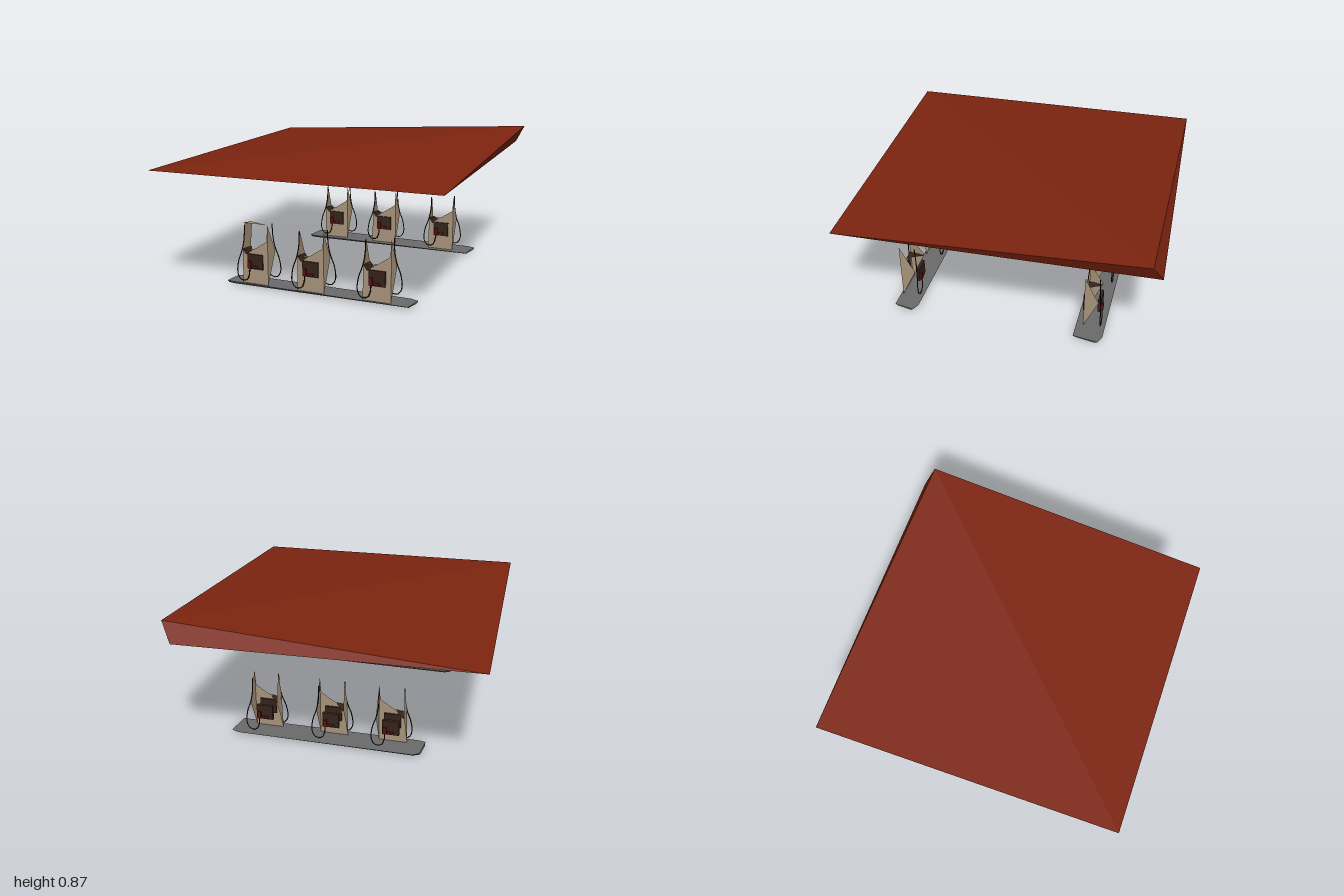
import * as THREE from 'three';

const mat = (color, side = THREE.DoubleSide) =>
  new THREE.MeshStandardMaterial({ color, side, flatShading: true });
const red = mat(0x7d2410), tan = mat(0xa8947a), grey = mat(0x6a6a6a);
const dark = mat(0x35241b), nozzleRed = mat(0x5e1212), black = mat(0x1c1815);

function add(parent, name, geometry, material) {
  const mesh = new THREE.Mesh(geometry, material);
  mesh.name = name;
  parent.add(mesh);
  return mesh;
}

// Flat-faced surface from corner points and triangles
function faceted(points, triangles) {
  const g = new THREE.BufferGeometry();
  const pos = triangles.flat().flatMap(i => points[i]);
  g.setAttribute('position', new THREE.Float32BufferAttribute(pos, 3));
  g.computeVertexNormals();
  return g;
}

// Sloping canopy: flat underside rising to one high corner
function canopyGeometry() {
  return faceted(
    [[-0.947, 0.75, -0.945], [0.877, 0.75, -1], [0.945, 0.75, 0.938], [-0.885, 0.75, 0.995], [0.945, 0.87, -0.945]],
    [[0, 3, 4], [3, 2, 4], [4, 2, 1], [0, 4, 1], [0, 1, 2], [0, 2, 3]]);
}

// Thin slab with clipped corners and a tapering underside
function islandGeometry(zMin, zMax) {
  const s = new THREE.Shape();
  [[-0.54, zMax - 0.01], [-0.53, zMin + 0.03], [-0.49, zMin], [0.64, zMin],
    [0.69, zMin + 0.02], [0.67, zMax], [-0.5, zMax]]
    .forEach(([x, z], i) => (i ? s.lineTo(x, -z) : s.moveTo(x, -z)));
  const g = new THREE.ExtrudeGeometry(s, { depth: 0.018, bevelEnabled: false });
  g.rotateX(-Math.PI / 2);
  const p = g.attributes.position, mid = (zMin + zMax) / 2;
  for (let i = 0; i < p.count; i++) {
    if (p.getY(i) > 0.01) continue;
    p.setY(i, 0.009 * (p.getX(i) + 0.54) / 1.23);
    p.setZ(i, mid + (p.getZ(i) - mid) * 0.75);
  }
  g.computeVertexNormals();
  return g;
}

// Display, hose and nozzle for one face of a pump
function serviceSide(d) {
  const side = new THREE.Group();
  side.name = 'serviceSide';
  add(side, 'display', new THREE.BoxGeometry(0.105, 0.095, 0.02), dark).position.set(0.004, 0.163, d);
  add(side, 'nozzle', new THREE.BoxGeometry(0.022, 0.045, 0.018), nozzleRed).position.set(-0.03, 0.145, d + 0.015);
  add(side, 'nozzleGrip', new THREE.BoxGeometry(0.05, 0.014, 0.012), nozzleRed).position.set(0, 0.13, d + 0.012);
  const path = [[-0.07, 0.39, 0], [-0.073, 0.3, 0.005], [-0.085, 0.23, 0.012], [-0.108, 0.16, 0.018],
    [-0.114, 0.08, 0.02], [-0.09, 0.042, 0.02], [-0.05, 0.045, 0.02], [-0.033, 0.08, 0.02], [-0.03, 0.14, 0.016]]
    .map(([x, y, z]) => new THREE.Vector3(x, y, d + z));
  add(side, 'hose', new THREE.TubeGeometry(new THREE.CatmullRomCurve3(path), 28, 0.0035, 5), black);
  return side;
}

function pump(d, roofed) {
  const g = new THREE.Group();
  g.name = 'pump';
  // Front panel with a spike at its right edge
  const front = new THREE.Shape();
  [[-0.09, 0.018], [0.09, 0.018], [0.09, 0.4], [0.083, 0.3], [0.0, 0.245], [-0.085, 0.235]]
    .forEach(([x, y], i) => (i ? front.lineTo(x, y) : front.moveTo(x, y)));
  add(g, 'frontPanel', new THREE.ShapeGeometry(front), tan).position.z = d;
  // Triangular side panels
  add(g, 'rightPanel', faceted([[0.09, 0.018, d], [0.09, 0.22, -d], [0.09, 0.405, d]], [[0, 1, 2]]), tan);
  add(g, 'leftPanel', faceted(
    [[-0.09, 0.018, d], [-0.085, 0.235, -d], [-0.085, 0.235, d], [-0.068, 0.4, d], [-0.072, 0.39, -d]],
    roofed ? [[0, 2, 1], [2, 3, 1], [3, 4, 1]] : [[0, 2, 1], [2, 3, 1]]), tan);
  // Dark ledge above the display
  add(g, 'ledge', faceted([[-0.088, 0.236, d + 0.003], [-0.06, 0.2, d + 0.003], [-0.015, 0.236, d + 0.003], [-0.08, 0.23, -d]],
    [[0, 1, 2], [0, 2, 3]]), dark);
  if (roofed) {
    add(g, 'roof', faceted([[-0.085, 0.405, d], [0.09, 0.405, d], [-0.075, 0.39, -d]], [[0, 1, 2]]), tan);
  }
  const back = serviceSide(d);
  back.rotation.y = Math.PI;
  g.add(serviceSide(d), back);
  return g;
}

export function createModel() {
  const model = new THREE.Group();
  model.name = 'fuelStation';
  add(model, 'canopy', canopyGeometry(), red);

  // Two islands with three pumps each
  [{ zMin: 0.556, zMax: 0.705, z: 0.642, d: 0.048 }, { zMin: -0.658, zMax: -0.476, z: -0.565, d: 0.045 }]
    .forEach(({ zMin, zMax, z, d }, row) => {
      add(model, 'island', islandGeometry(zMin, zMax), grey);
      [-0.34, 0.04, 0.472].forEach((x, i) => {
        const p = pump(d, row === 0 && i === 0);
        p.position.set(x, 0, z);
        model.add(p);
      });
    });
  return model;
}
